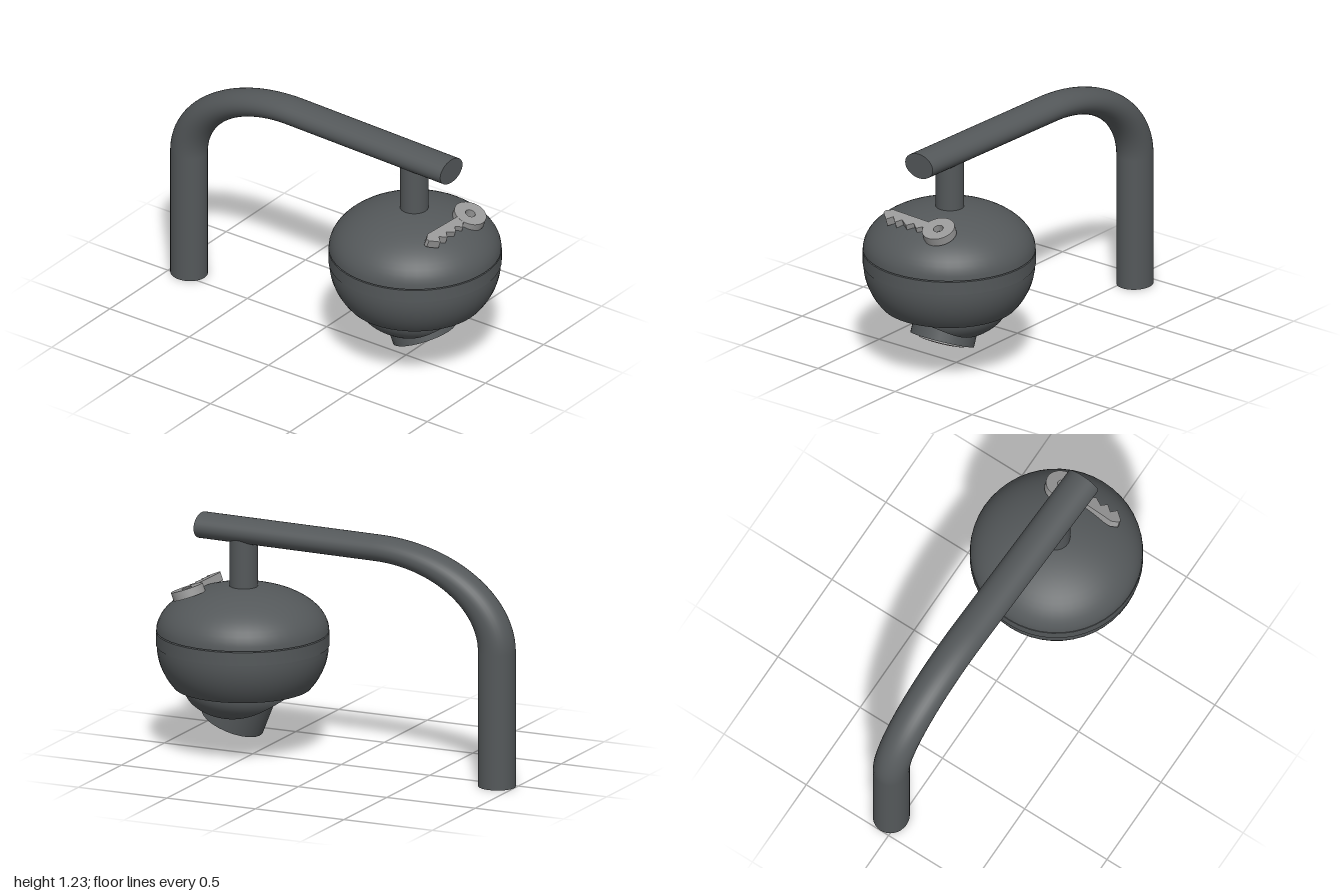
import * as THREE from 'three';
import { toCreasedNormals } from 'three/addons/utils/BufferGeometryUtils.js';
import { ParametricGeometry } from 'three/addons/geometries/ParametricGeometry.js';

const paint = (color, side = THREE.FrontSide) => new THREE.MeshStandardMaterial({ color, side });
const dark = paint(0x54585a);
const darkOpen = paint(0x54585a, THREE.DoubleSide);
const steel = paint(0x999999);
const glass = paint(0x5a1a20);

function add(parent, name, geometry, material, x = 0, y = 0, z = 0) {
  const mesh = new THREE.Mesh(geometry, material);
  mesh.name = name;
  mesh.position.set(x, y, z);
  parent.add(mesh);
  return mesh;
}

// Closed solid of revolution; profile runs from the bottom of the axis to the top
function turned(points) {
  const profile = points.map(([r, y]) => new THREE.Vector2(r, y));
  return toCreasedNormals(new THREE.LatheGeometry(profile, 48), 0.6);
}

// Points on an elliptical quarter arc, angle a0 to a1 measured from the equator
function arc(rx, ry, cy, a0, a1, n = 12) {
  return Array.from({ length: n + 1 }, (_, i) => {
    const a = a0 + (a1 - a0) * i / n;
    return [Math.max(0, rx * Math.cos(a)), cy + ry * Math.sin(a)];
  });
}

// Bent support pipe, built at unit radius and squashed to its oval section
function makePipe() {
  const pipe = new THREE.Group();
  pipe.name = 'supportPipe';
  const legTop = 10.7, bend = 7, reach = 17.3;
  add(pipe, 'pipeLeg', new THREE.CylinderGeometry(1, 1, legTop, 32), dark, 0, legTop / 2, 0);
  const elbow = new THREE.TorusGeometry(bend, 1, 32, 28, Math.PI / 2).rotateY(Math.PI / 2);
  add(pipe, 'pipeElbow', elbow, dark, 0, legTop, bend);
  const arm = new THREE.CylinderGeometry(1, 1, reach - bend, 32).rotateX(Math.PI / 2);
  add(pipe, 'pipeArm', arm, dark, 0, legTop + bend, (reach + bend) / 2);
  pipe.scale.set(0.092, 0.066, 0.098);
  pipe.rotation.y = -0.0335;
  pipe.position.set(0.047, 0, -0.902);
  return pipe;
}

// Shallow bowl under the housing with an arched slot running front to back
function makeSocket() {
  const socket = new THREE.Group();
  socket.name = 'slottedSocket';
  const R = 0.3, top = 0.35, depth = 0.173;
  const bowlY = (x, z) => top - depth * Math.sqrt(Math.max(0, 1 - (x * x + z * z) / (R * R)));
  const archY = (x) => 0.222 + 0.123 * Math.sqrt(Math.max(0, 1 - (x / 0.207) ** 2));
  const rowZ = (v) => -R * Math.cos(0.02 + v * (Math.PI - 0.04));
  const rimX = (z) => Math.sqrt(R * R - z * z);
  // Half width at which the slot meets the bowl
  const slotX = (z) => {
    let lo = 0, hi = Math.min(0.207, rimX(z));
    for (let i = 0; i < 30; i++) {
      const mid = (lo + hi) / 2;
      if (bowlY(mid, z) < archY(mid)) lo = mid; else hi = mid;
    }
    return lo;
  };
  for (const side of [-1, 1]) {
    const flank = (u, v, p) => {
      const z = rowZ(v), a = slotX(z), b = rimX(z);
      const x = a + (b - a) * Math.sin(u * Math.PI / 2);
      p.set(side * x, bowlY(x, z), z);
    };
    add(socket, side > 0 ? 'leftFlank' : 'rightFlank', new ParametricGeometry(flank, 10, 40), darkOpen);
  }
  const ceiling = (u, v, p) => {
    const z = rowZ(v), x = -slotX(z) * Math.cos(u * Math.PI);
    p.set(x, Math.max(archY(x), bowlY(x, z)), z);
  };
  add(socket, 'slotCeiling', new ParametricGeometry(ceiling, 20, 40), darkOpen);
  return socket;
}

// Tilted barrel with a rim and lens; local -y points out of the lens
function makeBarrel() {
  const barrel = new THREE.Group();
  barrel.name = 'lensBarrel';
  add(barrel, 'barrelTube', new THREE.CylinderGeometry(0.167, 0.167, 0.24, 24), dark, 0, 0.12, 0);
  add(barrel, 'lensRim', new THREE.CylinderGeometry(0.118, 0.118, 0.02, 32), steel, 0, -0.002, 0);
  add(barrel, 'lensSeat', new THREE.CylinderGeometry(0.11, 0.11, 0.02, 32), dark, 0, -0.004, 0);
  add(barrel, 'lens', new THREE.CylinderGeometry(0.085, 0.085, 0.02, 32), glass, 0, -0.007, 0);
  barrel.position.set(0, 0.1625, 0.058);
  barrel.rotation.x = -0.384;
  return barrel;
}

// Toothed key lying on the sloping front of the dome
function makeKey() {
  const key = new THREE.Group();
  key.name = 'key';
  const options = { depth: 0.045, bevelEnabled: false, curveSegments: 20 };
  const bow = new THREE.Shape().absarc(0.13, 0, 0.085, 0, Math.PI * 2);
  bow.holes.push(new THREE.Path().absarc(0.13, 0, 0.026, 0, Math.PI * 2, true));
  add(key, 'keyBow', toCreasedNormals(new THREE.ExtrudeGeometry(bow, options), 0.6), steel);
  const blade = new THREE.Shape([
    [0.07, 0.025], [-0.19, 0.037], [-0.225, 0.017], [-0.225, 0.0], [-0.18, -0.042], [-0.155, -0.01],
    [-0.12, -0.042], [-0.095, -0.013], [-0.05, -0.042], [-0.02, -0.013], [0.015, -0.042],
    [0.04, -0.02], [0.08, -0.025],
  ].map(([x, y]) => new THREE.Vector2(x, y)));
  add(key, 'keyBlade', new THREE.ExtrudeGeometry(blade, { ...options, depth: 0.044 }), steel);
  key.rotation.x = -70 * Math.PI / 180;
  key.position.set(0, 0.825, 0.238);
  return key;
}

export function createModel() {
  const model = new THREE.Group();
  model.name = 'hangingCamera';
  model.add(makePipe());

  const head = new THREE.Group();
  head.name = 'cameraHead';
  head.position.z = 0.557;
  model.add(head);

  add(head, 'hangerPost', new THREE.CylinderGeometry(0.073, 0.073, 0.29, 24), dark, 0, 1.005, -0.005);

  // Housing: dome, thin open gap, band, lower shell
  add(head, 'dome', turned([[0, 0.643], ...arc(0.44, 0.238, 0.643, 0, Math.PI / 2, 16)]), dark);
  add(head, 'band', turned([[0, 0.568], [0.441, 0.568], [0.441, 0.637], [0, 0.637]]), dark);
  add(head, 'lowerShell',
    turned([[0, 0.35], ...arc(0.438, 0.367, 0.57, -Math.asin(0.6), 0, 10), [0, 0.57]]), dark);

  head.add(makeSocket(), makeBarrel(), makeKey());
  return model;
}
